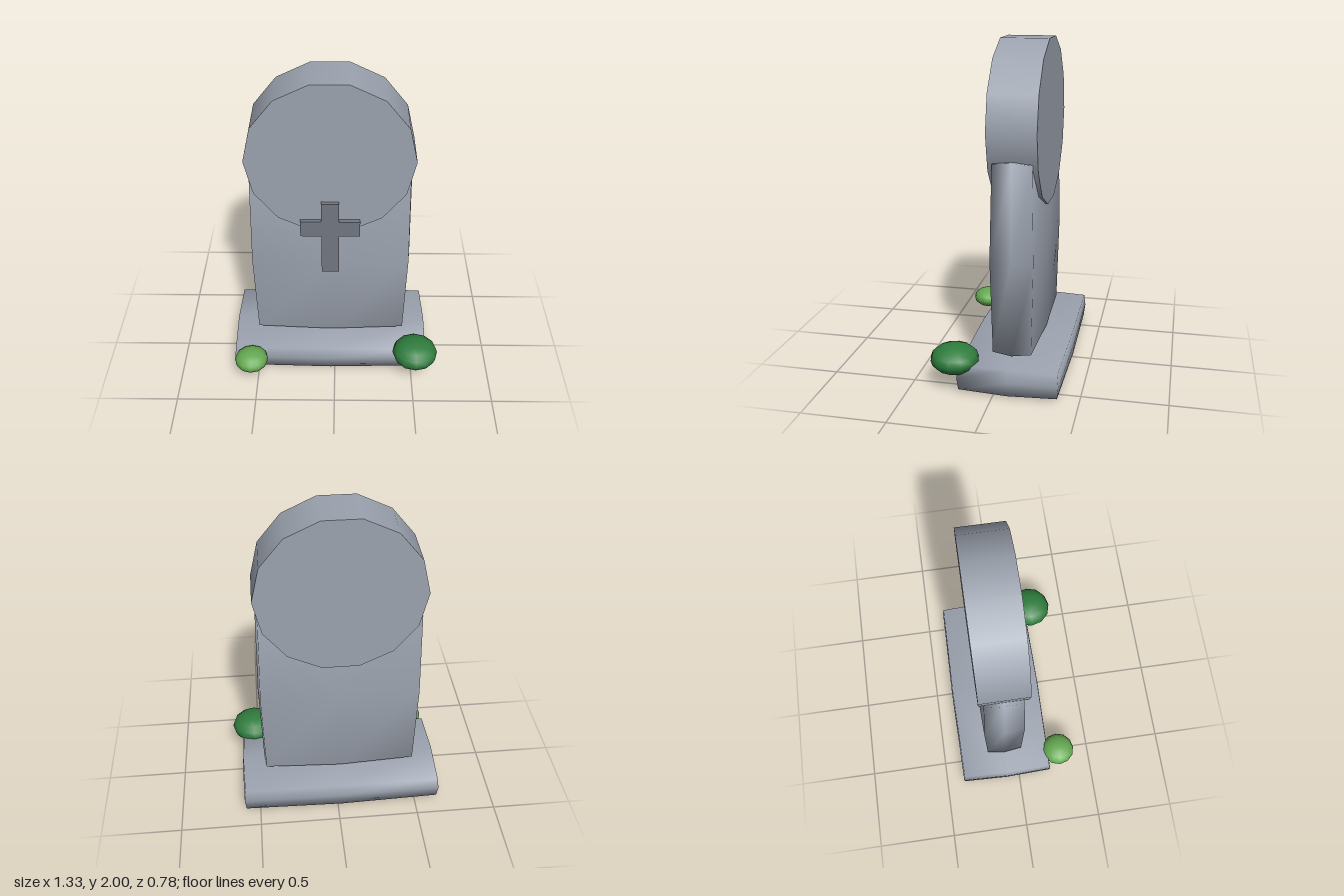
import * as THREE from 'three';
import { mergeVertices } from 'three/addons/utils/BufferGeometryUtils.js';

const STONE = 0x9ca3af;
const DARK_STONE = 0x727781;
const CX = -0.029; // the stone sits slightly off centre

function addMesh(parent, name, geometry, color = STONE) {
  const mesh = new THREE.Mesh(geometry, new THREE.MeshStandardMaterial({ color }));
  mesh.name = name;
  parent.add(mesh);
  return mesh;
}

// Box given by its extents, with softly bulging faces and normals smoothed over the edges
function pillowBox(min, max, inset) {
  const half = min.map((v, i) => (max[i] - v) / 2);
  const mid = min.map((v, i) => (max[i] + v) / 2);
  let geo = new THREE.BoxGeometry(2, 2, 2, 2, 2, 2);
  geo.deleteAttribute('normal');
  geo.deleteAttribute('uv');
  geo = mergeVertices(geo);
  const pos = geo.attributes.position;
  for (let i = 0; i < pos.count; i++) {
    const u = [pos.getX(i), pos.getY(i), pos.getZ(i)];
    const sum = u[0] ** 2 + u[1] ** 2 + u[2] ** 2;
    const p = u.map((c, k) => mid[k] + c * (half[k] - (inset * (sum - c * c)) / 2));
    pos.setXYZ(i, p[0], p[1], p[2]);
  }
  geo.computeVertexNormals();
  return geo;
}

export function createModel() {
  const model = new THREE.Group();
  model.name = 'gravestone';

  // Plinth and upright slab
  addMesh(model, 'base', pillowBox([-0.663, 0.005, -0.391], [0.606, 0.187, 0.223], 0.017));
  addMesh(model, 'slab', pillowBox([-0.53, 0.185, -0.222], [0.471, 1.365, 0.057], 0.025));

  // Fourteen-sided round top, with corners on its horizontal axis
  const disc = new THREE.CylinderGeometry(0.5, 0.5, 0.288, 14);
  disc.rotateX(Math.PI / 2).rotateZ(Math.PI / 2);
  addMesh(model, 'roundTop', disc).position.set(CX, 1.513, -0.083);

  // Raised cross
  const cross = new THREE.Group();
  cross.name = 'cross';
  model.add(cross);
  const h = 0.053, w = 0.18, low = -0.33, high = 0.182;
  const outline = [
    [-h, low], [h, low], [h, -h], [w, -h], [w, h], [h, h],
    [h, high], [-h, high], [-h, h], [-w, h], [-w, -h], [-h, -h],
  ].map(([x, y]) => new THREE.Vector2(x, y));
  const crossGeo = new THREE.ExtrudeGeometry(new THREE.Shape(outline), { depth: 0.05, bevelEnabled: false });
  addMesh(cross, 'crossRelief', crossGeo, DARK_STONE);
  cross.position.set(CX, 1.057, 0.04);

  // Squashed bushes at the front corners
  const bushes = [
    ['leftBush', 0.144, [0.518, 0.185, 0.244], 0x2f7d3e],
    ['rightBush', 0.107, [-0.538, 0.15, 0.283], 0x65aa52],
  ];
  for (const [name, radius, at, color] of bushes) {
    const bush = addMesh(model, name, new THREE.SphereGeometry(radius, 12, 8), color);
    bush.scale.y = 0.6;
    bush.position.set(...at);
  }

  return model;
}
